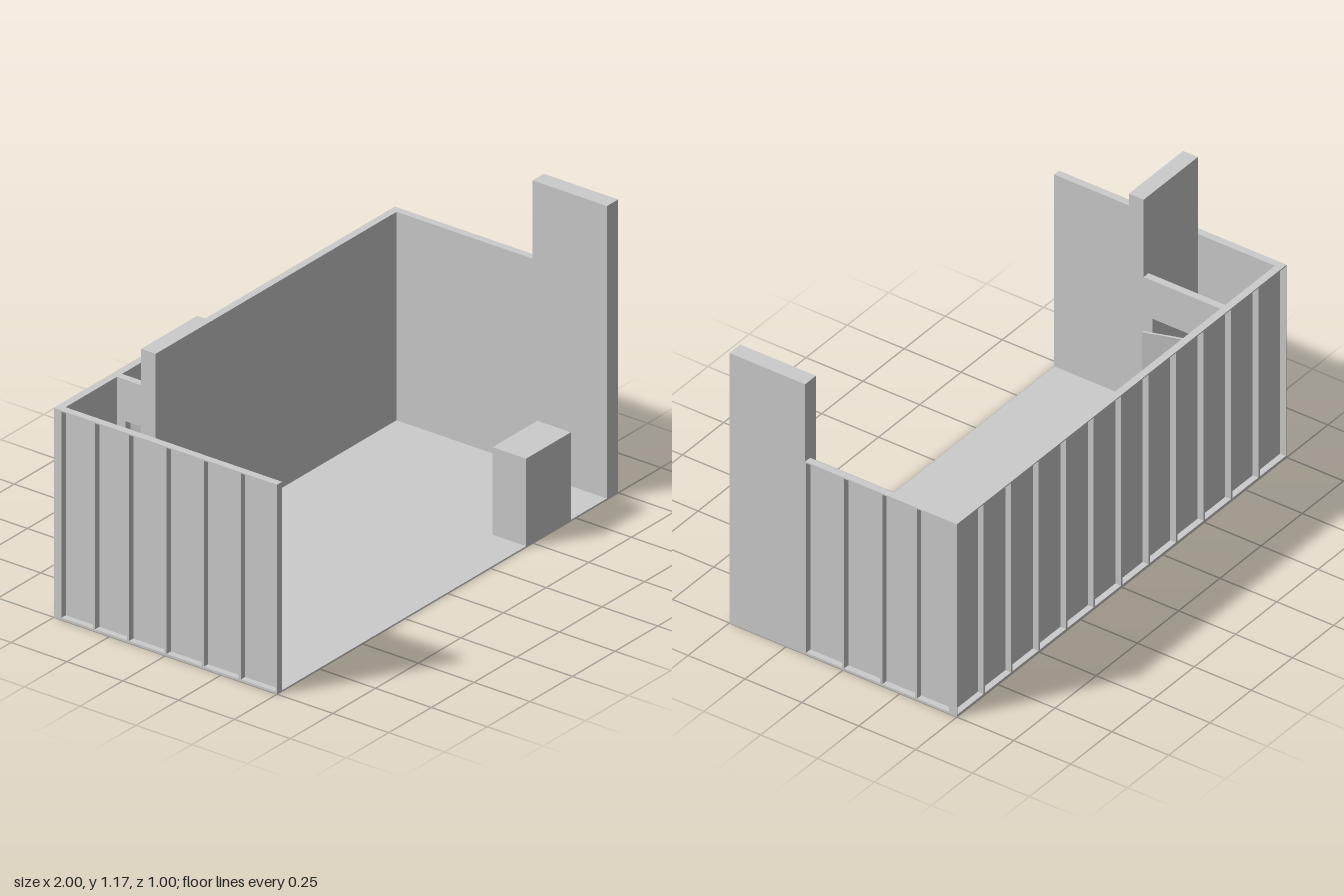
import * as THREE from 'three';

const WALL_H = 0.835, WALL_T = 0.03, SKIN = 0.005;

export function createModel() {
  const stand = new THREE.Group();
  stand.name = 'exhibitionStand';
  const material = new THREE.MeshStandardMaterial({ color: 0xcccccc, flatShading: true });

  const add = (name, geometry, parent = stand) => {
    const mesh = new THREE.Mesh(geometry, material);
    mesh.name = name;
    parent.add(mesh);
    return mesh;
  };

  // Box given by its minimum and maximum corners
  const block = (name, [x0, y0, z0], [x1, y1, z1], parent) => {
    const mesh = add(name, new THREE.BoxGeometry(x1 - x0, y1 - y0, z1 - z0), parent);
    mesh.position.set((x0 + x1) / 2, (y0 + y1) / 2, (z0 + z1) / 2);
    return mesh;
  };

  const rectangle = (x0, y0, x1, y1, Type = THREE.Shape) => {
    const pts = [[x0, y0], [x1, y0], [x1, y1], [x0, y1]];
    return new Type(pts.map(([x, y]) => new THREE.Vector2(x, y)));
  };

  // Wall with a smooth inner skin and recessed panels outside (local +z is outward)
  const panelWall = (name, edges, position, turn) => {
    const wall = new THREE.Group();
    wall.name = name;
    const first = edges[0], last = edges[edges.length - 1];
    const outline = rectangle(first, 0, last, WALL_H);
    for (let i = 0; i < edges.length - 1; i++) {
      outline.holes.push(rectangle(edges[i] + 0.005, 0.009, edges[i + 1] - 0.005, WALL_H - 0.005, THREE.Path));
    }
    const frame = new THREE.ExtrudeGeometry(outline, { depth: WALL_T - SKIN, bevelEnabled: false });
    add('wallFrame', frame, wall).position.z = SKIN - WALL_T;
    block('wallSkin', [first, 0, -WALL_T], [last, WALL_H, SKIN - WALL_T], wall);
    wall.position.set(...position);
    wall.rotation.y = turn;
    stand.add(wall);
  };

  block('floor', [-1, 0, -0.5], [1, 0.004, 0.5]);

  // Outer walls
  const backEdges = Array.from({ length: 13 }, (_, i) => -1 + i / 6);
  panelWall('backWall', backEdges, [0, 0, -0.5], Math.PI);
  panelWall('rightSideWall', [-0.47, -0.32, -0.168, 0, 0.167, 0.333, 0.5], [-1, 0, 0], -Math.PI / 2);
  panelWall('leftSideWall', [-0.167, 0, 0.168, 0.32, 0.47], [1, 0, 0], Math.PI / 2);

  // Tall display towers
  block('storeTower', [-0.968, 0, -0.133], [-0.639, 1.17, -0.068]);
  block('cornerTower', [0.934, 0, 0.167], [1, 1.17, 0.5]);

  // Store room partition with a doorway (profile runs along z)
  const partition = new THREE.Shape([
    [-0.47, 0], [-0.432, 0], [-0.432, 0.67], [-0.172, 0.67],
    [-0.172, 0], [-0.133, 0], [-0.133, WALL_H], [-0.47, WALL_H],
  ].map(([z, y]) => new THREE.Vector2(-z, y)));
  const partitionMesh = add('storePartition', new THREE.ExtrudeGeometry(partition, { depth: WALL_T, bevelEnabled: false }));
  partitionMesh.rotation.y = Math.PI / 2;
  partitionMesh.position.x = -0.669;

  // Door standing ajar on its rear hinge
  const hinge = new THREE.Group();
  hinge.name = 'door';
  hinge.position.set(-0.64, 0, -0.433);
  hinge.rotation.y = Math.atan2(0.082, 0.245);
  block('doorLeaf', [0, 0.005, 0], [0.009, 0.67, 0.258], hinge);
  stand.add(hinge);

  block('counter', [0.46, 0, 0.35], [0.722, 0.353, 0.5]);

  return stand;
}
